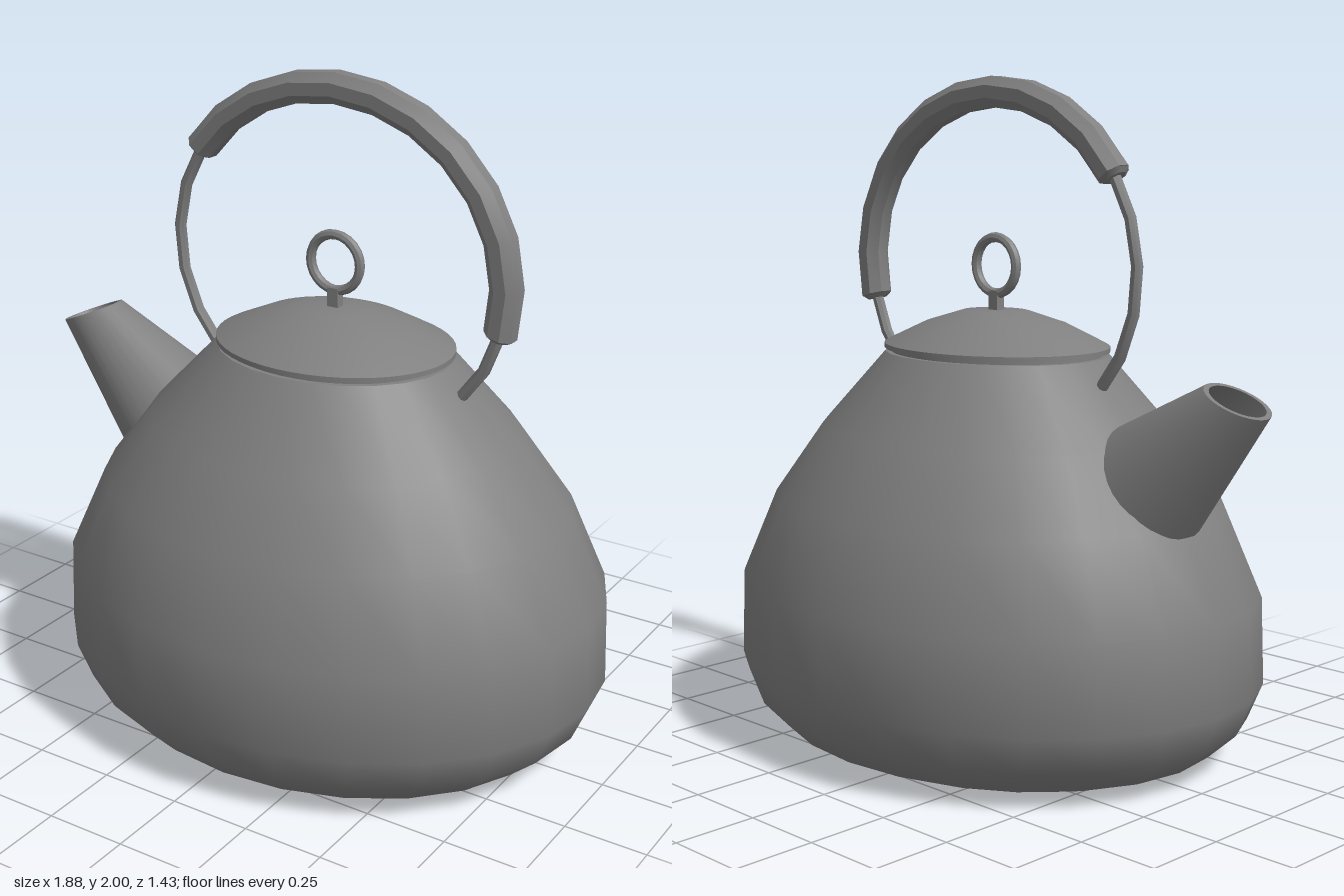
import * as THREE from 'three';
import { toCreasedNormals } from 'three/addons/utils/BufferGeometryUtils.js';

const CX = 0.067;      // axis of the oval body
const OVAL = 0.818;    // depth of the oval relative to its width

const material = new THREE.MeshStandardMaterial({ color: 0x808080 });
const openMaterial = new THREE.MeshStandardMaterial({ color: 0x808080, side: THREE.DoubleSide });

function part(group, name, geometry, mat = material) {
  const mesh = new THREE.Mesh(geometry, mat);
  mesh.name = name;
  group.add(mesh);
  return mesh;
}

// Oval turned shape around the body axis
function ovalLathe(profile, segments, crease) {
  const g = new THREE.LatheGeometry(profile.map(([r, y]) => new THREE.Vector2(r, y)), segments);
  g.scale(1, 1, OVAL);
  g.translate(CX, 0, 0);
  return toCreasedNormals(g, crease);
}

// Elliptical arch of the handle, angles in degrees from the +x side
class Arch extends THREE.Curve {
  constructor(from, to) {
    super();
    this.from = from;
    this.to = to;
  }
  getPoint(t, target = new THREE.Vector3()) {
    const a = THREE.MathUtils.degToRad(this.from + (this.to - this.from) * t);
    return target.set(CX + 0.558 * Math.cos(a), 1.44 + 0.513 * Math.sin(a), 0);
  }
}

// Eight-sided bar along a path, with flats facing the front and back
function octagonBar(path, radius, steps) {
  const corners = [];
  for (let i = 0; i < 8; i++) {
    const a = ((i + 0.5) * Math.PI) / 4;
    corners.push(new THREE.Vector2(radius * Math.cos(a), radius * Math.sin(a)));
  }
  const g = new THREE.ExtrudeGeometry(new THREE.Shape(corners), { steps, extrudePath: path });
  return toCreasedNormals(g, 0.6);
}

// Tapered tube through rings given by their lower and upper edge and half depth
function spoutGeometry(rings, n = 32) {
  const pos = [];
  const index = [];
  rings.forEach(([lx, ly, ux, uy, rz], i) => {
    for (let j = 0; j < n; j++) {
      const a = (j / n) * Math.PI * 2;
      const k = 0.5 + 0.5 * Math.cos(a);
      pos.push(lx + (ux - lx) * k, ly + (uy - ly) * k, rz * Math.sin(a));
      if (i < rings.length - 1) {
        const p = i * n + j, q = i * n + ((j + 1) % n);
        index.push(p, p + n, q, q, p + n, q + n);
      }
    }
  });
  const g = new THREE.BufferGeometry();
  g.setAttribute('position', new THREE.Float32BufferAttribute(pos, 3));
  g.setIndex(index);
  return toCreasedNormals(g, 0.7);
}

export function createModel() {
  const kettle = new THREE.Group();
  kettle.name = 'kettle';

  // Body: rounded base, bulging sides, flat shoulder under the lid
  part(kettle, 'body', ovalLathe([
    [0, 0], [0.635, 0.005], [0.735, 0.04], [0.825, 0.12], [0.872, 0.23],
    [0.862, 0.49], [0.745, 0.745], [0.585, 0.955], [0.37, 1.18], [0, 1.18],
  ], 24, 0.72));

  // Lid: thin rim and shallow dome
  part(kettle, 'lid', ovalLathe([
    [0, 1.175], [0.35, 1.175], [0.35, 1.188], [0.372, 1.19], [0.372, 1.205],
    [0.362, 1.21], [0.33, 1.225], [0.235, 1.268], [0.11, 1.305], [0, 1.308],
  ], 48, 0.6));

  // Lid knob: square stem and ring
  const knob = new THREE.Group();
  knob.name = 'knob';
  knob.position.x = CX;
  kettle.add(knob);
  part(knob, 'knobStem', new THREE.BoxGeometry(0.036, 0.07, 0.03)).position.y = 1.33;
  const ring = toCreasedNormals(new THREE.TorusGeometry(0.084, 0.015, 8, 24), 0.6);
  part(knob, 'knobRing', ring).position.y = 1.44;

  // Spout: hollow cone with a slanted mouth
  part(kettle, 'spout', spoutGeometry([
    [-0.588, 0.588, -0.342, 0.962, 0.195],
    [-0.945, 1.085, -0.755, 1.165, 0.088],
    [-0.93, 1.091, -0.77, 1.159, 0.074],
    [-0.63, 0.68, -0.42, 0.96, 0.155],
  ]), openMaterial);

  // Handle: wire arch with a thick grip
  const handle = new THREE.Group();
  handle.name = 'handle';
  kettle.add(handle);
  part(handle, 'handleWire', octagonBar(new Arch(-42, 222), 0.018, 18));
  const gripArch = new Arch(-13.5, 147);
  part(handle, 'handleGrip', octagonBar(gripArch, 0.049, 11));

  // Tapered caps closing both ends of the grip
  for (const [t, sign] of [[0, -1], [1, 1]]) {
    const capShape = new THREE.CylinderGeometry(0.032, 0.049, 0.014, 8, 1, false, Math.PI / 8);
    const cap = part(handle, 'gripCap', toCreasedNormals(capShape, 0.6));
    const dir = gripArch.getTangent(t).multiplyScalar(sign);
    cap.quaternion.setFromUnitVectors(new THREE.Vector3(0, 1, 0), dir);
    cap.position.copy(gripArch.getPoint(t)).addScaledVector(dir, 0.006);
  }

  return kettle;
}
